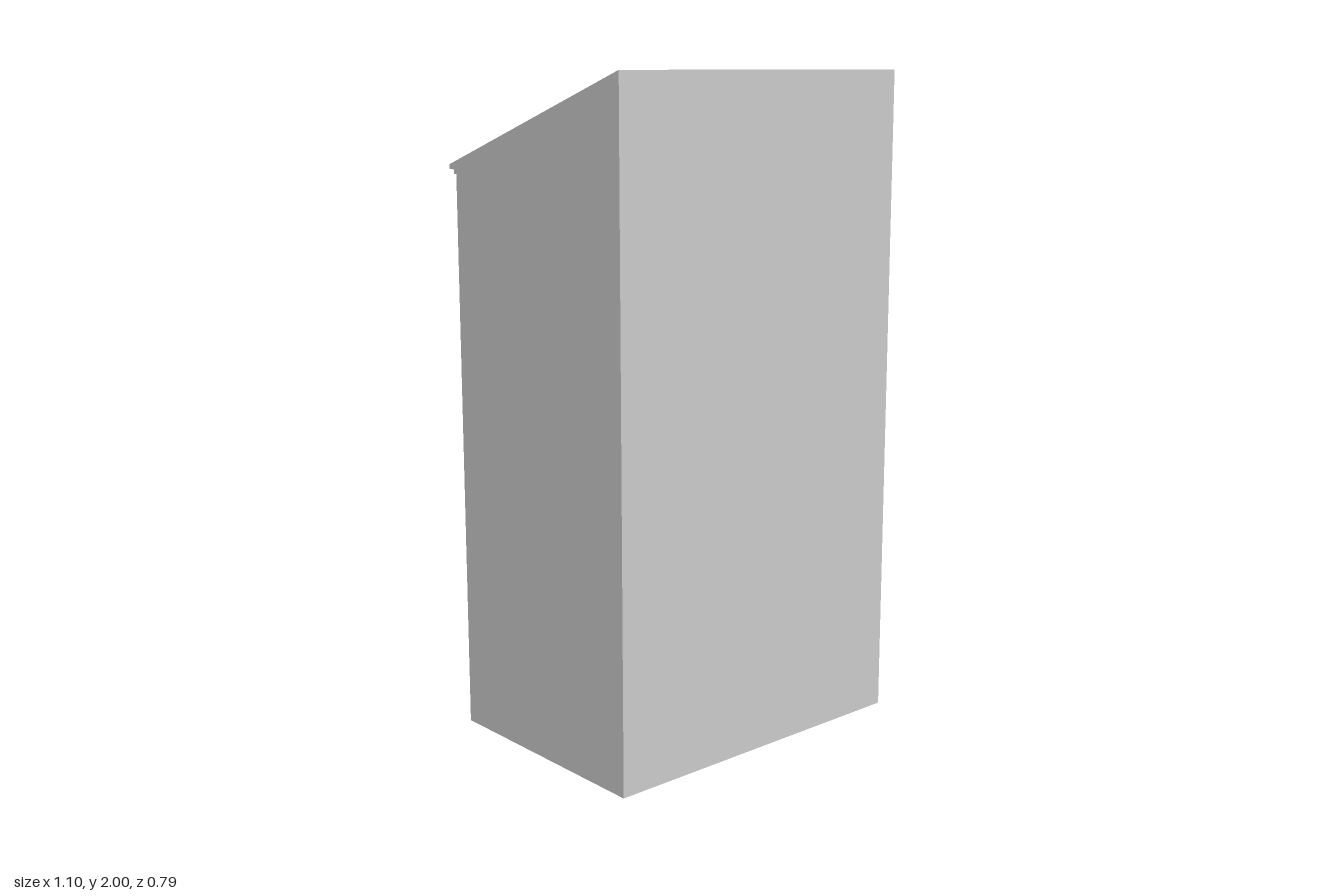
import * as THREE from 'three';

const material = new THREE.MeshStandardMaterial({ color: 0xcccccc });
const LEFT = 0.515, RIGHT = -0.55, WALL = -0.355, GLASS = -0.305;
const SPACING = -0.533; // offset between the two window columns

function add(parent, name, geometry, x = 0, y = 0, z = 0) {
  const mesh = new THREE.Mesh(geometry, material);
  mesh.name = name;
  mesh.position.set(x, y, z);
  parent.add(mesh);
  return mesh;
}

// box given by its limits
function block(parent, name, x0, x1, y0, y1, z0, z1) {
  return add(parent, name, new THREE.BoxGeometry(x1 - x0, y1 - y0, z1 - z0),
    (x0 + x1) / 2, (y0 + y1) / 2, (z0 + z1) / 2);
}

function rectangle(Type, x0, x1, y0, y1) {
  const p = new Type();
  p.moveTo(x0, y0);
  p.lineTo(x1, y0);
  p.lineTo(x1, y1);
  p.lineTo(x0, y1);
  p.closePath();
  return p;
}

function frame(parent, name, [x0, x1, y0, y1], width, z, depth) {
  const shape = rectangle(THREE.Shape, x0, x1, y0, y1);
  shape.holes.push(rectangle(THREE.Path, x0 + width, x1 - width, y0 + width, y1 - width));
  add(parent, name, new THREE.ExtrudeGeometry(shape, { depth, bevelEnabled: false }), 0, 0, z);
}

// evenly spaced glazing bars dividing an opening
function glazing(parent, [x0, x1, y0, y1], columns, rows) {
  const t = 0.004;
  for (let i = 1; i < columns; i++) {
    const x = x0 + (x1 - x0) * i / columns;
    block(parent, 'glazingBar', x - t, x + t, y0, y1, GLASS - 0.014, GLASS);
  }
  for (let i = 1; i < rows; i++) {
    const y = y0 + (y1 - y0) * i / rows;
    block(parent, 'glazingBar', x0, x1, y - t, y + t, GLASS - 0.014, GLASS);
  }
}

// stepped strips under the head of an opening
function lintel(parent, [x0, x1, , y1]) {
  for (let i = 0; i < 2; i++) {
    block(parent, 'lintelStrip', x0, x1, y1 - 0.008 * (i + 1), y1 - 0.008 * i,
      GLASS - 0.036 + 0.012 * i, GLASS);
  }
}

function upperWindow(parent, opening) {
  const [x0, x1, y0, y1] = opening;
  const group = new THREE.Group();
  group.name = 'upperWindow';
  frame(group, 'windowFrame', opening, 0.014, GLASS - 0.02, 0.02);
  glazing(group, opening, 2, 3);
  lintel(group, opening);
  const sill = add(group, 'slopingSill', new THREE.BoxGeometry(x1 - x0, 0.007, 0.1),
    (x0 + x1) / 2, y0 + 0.013, -0.348);
  sill.rotation.x = -0.4;
  block(group, 'guardRail', x0, x1, y0 + 0.045, y0 + 0.052, -0.345, -0.338);
  parent.add(group);
}

function groundWindow(parent, opening) {
  const [x0, x1, y0, y1] = opening;
  const group = new THREE.Group();
  group.name = 'groundWindow';
  frame(group, 'windowFrame', opening, 0.014, GLASS - 0.018, 0.018);
  glazing(group, opening, 2, 2);
  lintel(group, opening);
  block(group, 'sill', x0, x1, y0, y0 + 0.008, -0.38, GLASS);
  // security grille
  for (let i = 1; i <= 5; i++) {
    const bar = new THREE.CylinderGeometry(0.004, 0.004, y1 - y0, 8);
    add(group, 'grilleBar', bar, x0 + (x1 - x0) * i / 6, (y0 + y1) / 2, -0.342);
  }
  for (let i = 0; i < 4; i++) {
    const y = y0 + (y1 - y0) * (i + 0.6) / 4.2;
    block(group, 'grilleCrossbar', x0, x1, y - 0.004, y + 0.004, -0.35, -0.343);
  }
  parent.add(group);
}

function wallVent(parent, [x0, x1, y0, y1]) {
  const group = new THREE.Group();
  group.name = 'wallVent';
  frame(group, 'ventFrame', [x0, x1, y0, y1], 0.009, -0.366, 0.012);
  for (let i = 1; i <= 3; i++) {
    const y = y0 + (y1 - y0) * i / 4;
    const slat = block(group, 'ventSlat', x0 + 0.008, x1 - 0.008, y - 0.006, y + 0.006, -0.361, -0.357);
    slat.rotation.x = -0.4;
  }
  parent.add(group);
}

export function createModel() {
  const model = new THREE.Group();
  model.name = 'townhouse';

  // main volume with lean-to roof, eave and cornice step
  const profile = new THREE.Shape([
    [0.395, 0], [0.395, 2], [-0.39, 1.727], [-0.39, 1.713], [-0.366, 1.713],
    [-0.366, 1.7], [GLASS, 1.7], [GLASS, 0],
  ].map(([z, y]) => new THREE.Vector2(z, y)));
  const body = new THREE.ExtrudeGeometry(profile, { depth: LEFT - RIGHT, bevelEnabled: false });
  body.rotateY(-Math.PI / 2);
  add(model, 'houseBody', body, LEFT);

  // openings
  const upper = [], ground = [];
  for (const dx of [0, SPACING]) {
    for (const y of [0.708, 1.236]) upper.push([0.207 + dx, 0.477 + dx, y, y + 0.313]);
    ground.push([0.13 + dx, 0.477 + dx, 0.165, 0.538]);
  }
  const basement = [-0.43, -0.083, 0.02, 0.07];

  // pierced facade in front of the main volume
  const facade = rectangle(THREE.Shape, RIGHT, LEFT, 0, 1.7);
  for (const o of [...upper, ...ground, basement]) facade.holes.push(rectangle(THREE.Path, ...o));
  add(model, 'facade', new THREE.ExtrudeGeometry(facade, { depth: GLASS - WALL, bevelEnabled: false }),
    0, 0, WALL);

  for (const o of upper) upperWindow(model, o);
  for (const o of ground) groundWindow(model, o);
  for (const dx of [0, SPACING]) wallVent(model, [0.06 + dx, 0.15 + dx, 0.727, 0.828]);

  // basement light with two panes
  block(model, 'basementPane', basement[0], basement[1], basement[2], basement[3], -0.335, GLASS);
  frame(model, 'basementFrame', basement, 0.006, -0.345, 0.012);
  block(model, 'basementMullion', -0.262, -0.252, 0.02, 0.07, -0.345, -0.333);

  // upright rod on the side wall with its brackets
  const rod = new THREE.Group();
  rod.name = 'sideRod';
  block(rod, 'rod', 0.537, 0.545, 0.105, 0.565, -0.334, -0.326);
  for (let i = 0; i < 6; i++) {
    const y = 0.152 + i * 0.0735;
    block(rod, 'rodBracket', LEFT - 0.002, 0.541, y - 0.005, y + 0.005, -0.333, -0.327);
  }
  model.add(rod);

  return model;
}
